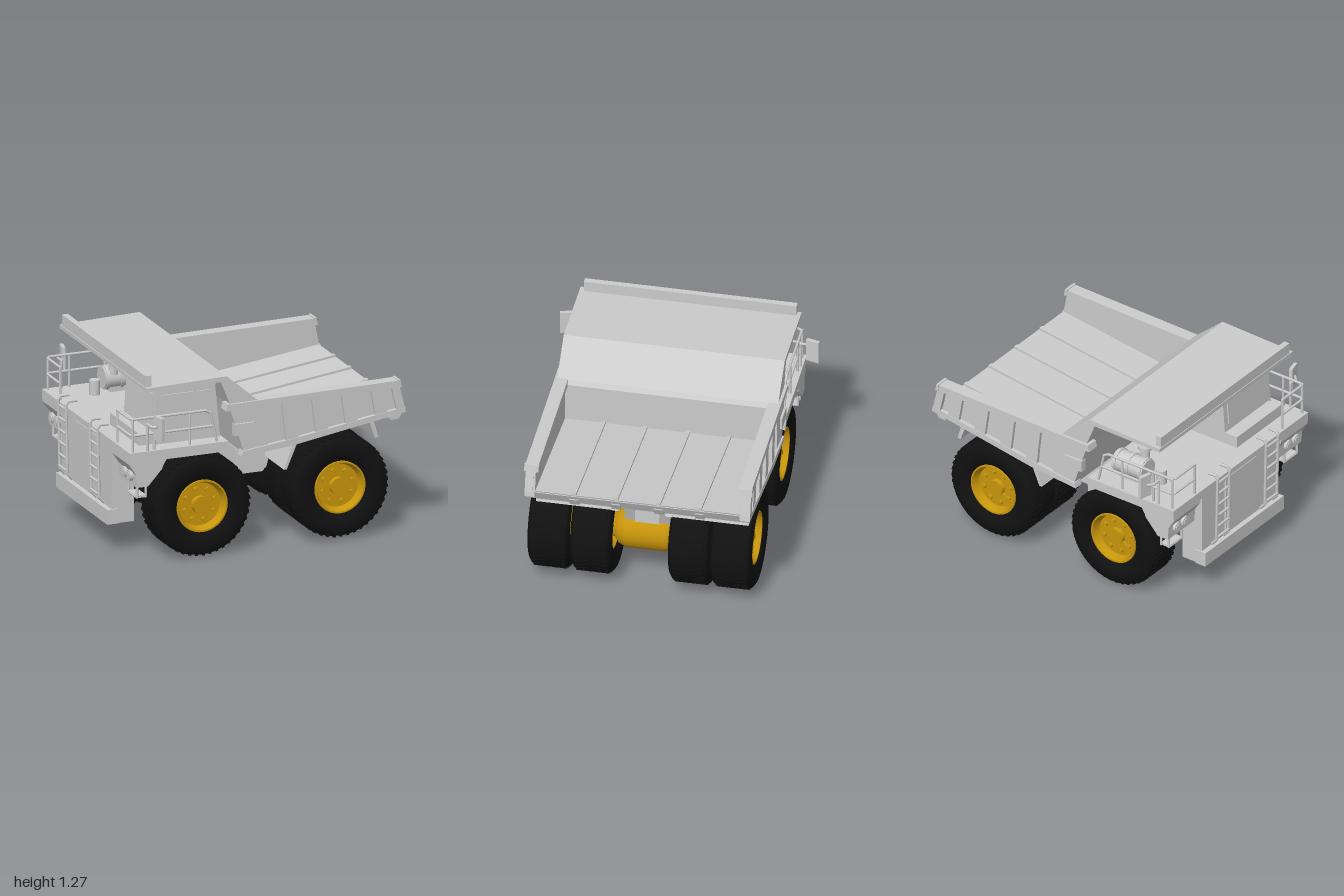
import * as THREE from 'three';
import { mergeGeometries, toCreasedNormals } from 'three/addons/utils/BufferGeometryUtils.js';

const grey = new THREE.MeshStandardMaterial({ color: 0xcccccc });
const rubber = new THREE.MeshStandardMaterial({ color: 0x111111 });
const yellow = new THREE.MeshStandardMaterial({ color: 0xc8960c });

function add(parent, name, geo, mat = grey) {
  const m = new THREE.Mesh(geo, mat);
  m.name = name;
  parent.add(m);
  return m;
}
// Box given by its limits on each axis
function box(parent, name, x0, x1, y0, y1, z0, z1, mat) {
  const g = new THREE.BoxGeometry(x1 - x0, y1 - y0, z1 - z0);
  g.translate((x0 + x1) / 2, (y0 + y1) / 2, (z0 + z1) / 2);
  return add(parent, name, g, mat);
}
// Side profile (x, y) extruded from z0 to z1
function slab(parent, name, pts, z0, z1) {
  const s = new THREE.Shape(pts.map(p => new THREE.Vector2(...p)));
  const g = new THREE.ExtrudeGeometry(s, { depth: z1 - z0, bevelEnabled: false });
  g.translate(0, 0, z0);
  return add(parent, name, g);
}
// Round bar through a list of points
function bar(parent, name, pts, r = 0.009) {
  const v = pts.map(p => new THREE.Vector3(...p)), parts = [];
  for (let i = 0; i < v.length - 1; i++) {
    const d = v[i + 1].clone().sub(v[i]);
    const g = new THREE.CylinderGeometry(r, r, d.length(), 8);
    g.applyQuaternion(new THREE.Quaternion().setFromUnitVectors(new THREE.Vector3(0, 1, 0), d.clone().normalize()));
    const c = v[i].clone().add(v[i + 1]).multiplyScalar(0.5);
    parts.push(g.translate(c.x, c.y, c.z));
    if (i) parts.push(new THREE.SphereGeometry(r, 8, 6).translate(v[i].x, v[i].y, v[i].z));
  }
  return add(parent, name, mergeGeometries(parts));
}
// Cylinder along 'x' or 'z' (or upright)
function drum(parent, name, r, len, axis, x, y, z, mat) {
  const g = new THREE.CylinderGeometry(r, r, len, 28);
  if (axis === 'z') g.rotateX(Math.PI / 2);
  if (axis === 'x') g.rotateZ(Math.PI / 2);
  return add(parent, name, g.translate(x, y, z), mat);
}
function lathe(pts) {
  const g = new THREE.LatheGeometry(pts.map(p => new THREE.Vector2(...p)), 56);
  return toCreasedNormals(g.rotateX(Math.PI / 2), 0.6);
}

// Tyre with shallow staggered tread and a dished, bolted rim; outer side is +z
function makeWheel(name) {
  const w = new THREE.Group();
  w.name = name;
  add(w, 'tyre', lathe([[0.172, -0.1], [0.2, -0.125], [0.26, -0.136], [0.303, -0.134], [0.326, -0.118], [0.337, -0.085],
    [0.339, 0], [0.337, 0.085], [0.326, 0.118], [0.303, 0.134], [0.26, 0.136], [0.2, 0.125], [0.172, 0.1]]), rubber);
  const lugs = [], n = 44;
  for (let i = 0; i < n; i++) for (const s of [-1, 1]) {
    const g = new THREE.BoxGeometry(0.02, 0.03, 0.1);
    g.rotateY(s * 0.25).translate(0, 0.3255, s * 0.055);
    lugs.push(g.rotateZ(((i + (s > 0 ? 0.5 : 0)) / n) * Math.PI * 2));
  }
  add(w, 'treadLugs', mergeGeometries(lugs), rubber);
  add(w, 'rim', lathe([[0, -0.06], [0.15, -0.06], [0.176, -0.11], [0.176, 0.118], [0.165, 0.118],
    [0.145, 0.065], [0.058, 0.065], [0.054, 0.092], [0, 0.092]]), yellow);
  for (let i = 0; i < 8; i++) {
    const a = (i + 0.35) / 8 * Math.PI * 2;
    drum(w, 'wheelBolt', 0.015, 0.03, 'z', Math.cos(a) * 0.108, Math.sin(a) * 0.108, 0.07, yellow);
  }
  const valve = box(w, 'valveStem', 0.05, 0.135, -0.01, 0.01, 0.06, 0.085, yellow);
  valve.rotation.z = -0.6;
  return w;
}

export function createModel() {
  const truck = new THREE.Group();
  truck.name = 'dumpTruck';

  // Wheels: single in front, twin at the rear
  for (const s of [1, -1]) {
    for (const [name, x, y, z] of [['frontWheel', -0.412, 0.344, s * 0.585 + 0.012], ['rearOuterWheel', 0.543, 0.358, s * 0.6 + 0.018],
      ['rearInnerWheel', 0.543, 0.358, s * 0.322 + 0.016]]) {
      const w = makeWheel(name);
      w.position.set(x, y, z);
      if (s < 0) w.rotation.y = Math.PI;
      truck.add(w);
    }
    drum(truck, 'twinWheelSpacer', 0.185, 0.1, 'z', 0.543, 0.358, s * 0.46 + 0.016, yellow);
  }
  // Axles
  const axle = lathe([[0, -0.5], [0.08, -0.5], [0.08, -0.21], [0.12, -0.18], [0.142, -0.13], [0.142, 0.13], [0.12, 0.18], [0.08, 0.21], [0.08, 0.5], [0, 0.5]]);
  add(truck, 'rearAxle', axle, yellow).position.set(0.543, 0.34, 0.016);
  add(truck, 'frontAxle', axle.clone().scale(0.85, 0.85, 1.05), yellow).position.set(-0.412, 0.34, 0.012);

  // Chassis
  slab(truck, 'sideTank', [[-0.24, 0.66], [-0.24, 0.42], [-0.2, 0.39], [0.17, 0.39], [0.2, 0.42], [0.26, 0.66]], -0.32, 0.32);
  for (const s of [1, -1]) {
    const z = s * 0.32;
    slab(truck, 'tankPanel', [[-0.04, 0.63], [-0.04, 0.42], [0.17, 0.42], [0.21, 0.63]], Math.min(z, z + s * 0.012), Math.max(z, z + s * 0.012));
    // Suspension struts from axle to frame
    slab(truck, 'rearStrut', [[0.5, 0.42], [0.62, 0.42], [0.74, 0.76], [0.5, 0.76]], s > 0 ? 0.08 : -0.15, s > 0 ? 0.15 : -0.08);
    drum(truck, 'rearLamp', 0.038, 0.03, 'x', 0.745, 0.71, s * 0.05);
    drum(truck, 'rearLampLens', 0.028, 0.04, 'x', 0.745, 0.71, s * 0.05);
  }
  box(truck, 'frontFrame', -0.8, -0.22, 0.42, 0.67, -0.22, 0.22);
  box(truck, 'rearFrame', 0.2, 0.6, 0.48, 0.7, -0.13, 0.13);
  box(truck, 'tailFrame', 0.56, 0.66, 0.46, 0.78, -0.08, 0.08);
  box(truck, 'tailCrossbeam', 0.6, 0.74, 0.66, 0.78, -0.15, 0.15);

  // Nose, radiator and bumper
  box(truck, 'nose', -0.925, -0.77, 0.2, 0.765, -0.42, 0.42);
  box(truck, 'bumper', -0.96, -0.88, 0.2, 0.3, -0.43, 0.43);
  box(truck, 'radiatorPanel', -0.935, -0.92, 0.33, 0.73, -0.17, 0.17);
  // Deck and fenders
  box(truck, 'deck', -0.93, -0.24, 0.71, 0.77, -0.735, 0.735);
  for (const s of [1, -1]) {
    const range = (a, b) => s > 0 ? [a, b] : [-b, -a];
    slab(truck, 'frontFender', [[-0.93, 0.72], [-0.93, 0.69], [-0.885, 0.62], [-0.88, 0.53], [-0.8, 0.53], [-0.7, 0.64], [-0.68, 0.72]], ...range(0.44, 0.73));
    slab(truck, 'fenderSkirt', [[-0.7, 0.72], [-0.7, 0.65], [-0.67, 0.7], [-0.3, 0.7], [-0.24, 0.66], [-0.24, 0.72]], ...range(0.7, 0.73));
    slab(truck, 'innerFender', [[-0.69, 0.73], [-0.69, 0.65], [-0.24, 0.65], [-0.24, 0.73]], ...range(0.4, 0.45));
    for (const z of [0.565, 0.65]) {
      drum(truck, 'headlight', 0.036, 0.03, 'x', -0.89, 0.595, s * z);
      drum(truck, 'headlightLens', 0.026, 0.04, 'x', -0.89, 0.595, s * z);
    }
    // Boarding step under the fender
    for (const x of [-0.865, -0.805])
      bar(truck, 'stepHanger', [[x, 0.54, s * 0.7], [x, 0.455, s * 0.7], [x, 0.455, s * 0.56], [x, 0.54, s * 0.56]]);
    box(truck, 'stepTread', -0.87, -0.8, 0.45, 0.465, ...range(0.56, 0.7));
    // Front ladders
    for (const z of [0.2, 0.33])
      bar(truck, 'ladderRail', [[-0.91, 0.85, s * z], [-0.97, 0.85, s * z], [-0.985, 0.83, s * z], [-0.975, 0.36, s * z], [-0.94, 0.32, s * z]], 0.01);
    for (let i = 0; i < 6; i++)
      bar(truck, 'ladderRung', [[-0.98, 0.38 + i * 0.082, s * 0.2], [-0.98, 0.38 + i * 0.082, s * 0.33]]);
    // Handrails
    const zr = s * 0.71;
    bar(truck, 'topHandrail', [[-0.91, 0.77, s * 0.48], [-0.91, 0.99, s * 0.48], [-0.91, 0.99, s * 0.68], [-0.89, 0.99, zr],
      [-0.39, 0.99, zr], [-0.355, 0.97, zr], [-0.31, 0.77, zr]]);
    bar(truck, 'midHandrail', [[-0.91, 0.88, s * 0.48], [-0.91, 0.88, s * 0.69], [-0.89, 0.88, zr], [-0.335, 0.88, zr]]);
    for (const x of [-0.9, -0.75, -0.5]) bar(truck, 'railPost', [[x, 0.77, zr], [x, 0.99, zr]]);
    // Mirrors on outriggers
    bar(truck, 'mirrorArm', [[-0.8, 0.77, s * 0.72], [-0.8, 0.95, s * 0.72], [-0.8, 0.95, s * 0.78], [-0.77, 0.95, s * 0.81]]);
    const mirror = add(truck, 'mirror', new THREE.BoxGeometry(0.025, 0.16, 0.088));
    mirror.position.set(-0.755, 0.94, s * 0.81);
    mirror.rotation.y = s * 0.25;
  }

  // Cab on the left of the deck
  slab(truck, 'cab', [[-0.72, 0.77], [-0.25, 0.77], [-0.29, 1.18], [-0.69, 1.18]], 0.12, 0.62);
  slab(truck, 'cabRoofBand', [[-0.7, 1.13], [-0.285, 1.13], [-0.29, 1.165], [-0.695, 1.165]], 0.11, 0.63);
  slab(truck, 'cabDoor', [[-0.42, 0.79], [-0.29, 0.79], [-0.31, 1.1], [-0.41, 1.1]], 0.62, 0.628);
  slab(truck, 'sideWindow', [[-0.68, 0.9], [-0.44, 0.9], [-0.44, 1.1], [-0.67, 1.1]], 0.62, 0.628);
  slab(truck, 'windshield', [[-0.72, 0.9], [-0.68, 0.9], [-0.67, 1.1], [-0.703, 1.1]], 0.16, 0.58);
  box(truck, 'cabConsole', -0.81, -0.7, 0.77, 0.85, 0.12, 0.6);

  // Air cleaner and canisters on the open side of the deck
  drum(truck, 'airCleaner', 0.075, 0.24, 'x', -0.47, 0.86, -0.55);
  for (const x of [-0.57, -0.47, -0.37]) drum(truck, 'cleanerBand', 0.081, 0.02, 'x', x, 0.86, -0.55);
  drum(truck, 'airIntake', 0.03, 0.1, 'y', -0.53, 0.94, -0.5);
  drum(truck, 'intakeCap', 0.045, 0.025, 'y', -0.53, 0.99, -0.5);
  drum(truck, 'canister', 0.035, 0.1, 'y', -0.66, 0.82, -0.5);
  box(truck, 'cleanerStand', -0.55, -0.39, 0.77, 0.81, -0.6, -0.5);

  // Dump body: canopy, front wall, floor
  const body = new THREE.Group();
  body.name = 'dumpBody';
  truck.add(body);
  slab(body, 'canopyAndFrontWall', [[-0.81, 1.17], [-0.81, 1.195], [-0.25, 1.21], [-0.03, 1.02], [-0.01, 0.99], [-0.01, 0.7], [-0.13, 0.67], [-0.22, 1.0], [-0.29, 1.175]], -0.725, 0.73);
  box(body, 'canopyLip', -0.805, -0.765, 1.19, 1.27, -0.7, 0.7);
  slab(body, 'floor', [[-0.13, 0.665], [0.95, 0.795], [0.98, 0.85], [-0.03, 0.72]], -0.7, 0.7);
  slab(body, 'rearBeam', [[0.9, 0.77], [0.955, 0.775], [0.99, 0.845], [0.9, 0.83]], -0.73, 0.735);
  for (const z of [-0.405, -0.135, 0.145, 0.42]) {
    slab(body, 'floorRib', [[-0.02, 0.71], [0.98, 0.835], [0.98, 0.866], [-0.02, 0.735]], z - 0.015, z + 0.015);
    slab(body, 'underRib', [[-0.1, 0.65], [0.96, 0.765], [0.99, 0.82], [-0.1, 0.69]], z - 0.03, z + 0.03);
  }
  for (const s of [1, -1]) {
    const range = (a, b) => s > 0 ? [a, b] : [-b, -a];
    slab(body, 'sideWall', [[-0.22, 1.01], [-0.12, 0.67], [0.99, 0.82], [0.95, 1.02]], ...range(0.675, 0.715));
    slab(body, 'topRail', [[-0.26, 0.975], [0.955, 0.99], [0.95, 1.035], [-0.25, 1.02]], ...range(0.658, 0.745));
    slab(body, 'lowerRail', [[-0.15, 0.655], [0.2, 0.685], [1.0, 0.815], [0.995, 0.85], [0.2, 0.73], [-0.14, 0.69]], ...range(0.675, 0.742));
    slab(body, 'rearPost', [[0.9, 1.0], [0.94, 0.82], [0.998, 0.82], [0.955, 1.0]], ...range(0.69, 0.742));
    slab(body, 'railEnd', [[0.945, 0.99], [0.968, 0.99], [0.958, 1.04], [0.94, 1.04]], ...range(0.655, 0.75));
    slab(body, 'frontSidePlate', [[-0.23, 0.99], [-0.13, 0.68], [0.04, 0.7], [0.03, 0.99]], ...range(0.7, 0.73));
    box(body, 'sideBracket', -0.2, -0.06, 0.8, 0.88, ...range(0.7, 0.745));
    // Slanted stiffeners along the side
    for (let i = 0; i < 4; i++) {
      const x = 0.135 + i * 0.208, low = 0.715 + i * 0.033;
      slab(body, 'sideStiffener', [[x, 0.99], [x + 0.03, low], [x + 0.115, low + 0.013], [x + 0.085, 0.99]], ...range(0.7, 0.738));
    }
    // Mud guards over and behind the rear wheels
    slab(body, 'rearGuardSide', [[0.18, 0.5], [0.21, 0.5], [0.29, 0.69], [0.74, 0.755], [0.8, 0.65], [0.83, 0.655], [0.78, 0.78], [0.27, 0.73]], ...range(0.16, 0.2));
    slab(body, 'mudFlap', [[0.755, 0.78], [0.8, 0.65], [0.825, 0.655], [0.785, 0.79]], ...range(0.15, 0.7));
    slab(body, 'frontGuard', [[0.18, 0.5], [0.2, 0.5], [0.29, 0.71], [0.26, 0.71]], ...range(0.3, 0.66));
    slab(body, 'hoistBeam', [[0.2, 0.68], [0.74, 0.75], [0.74, 0.79], [0.2, 0.71]], ...range(0.1, 0.16));
  }
  return truck;
}
